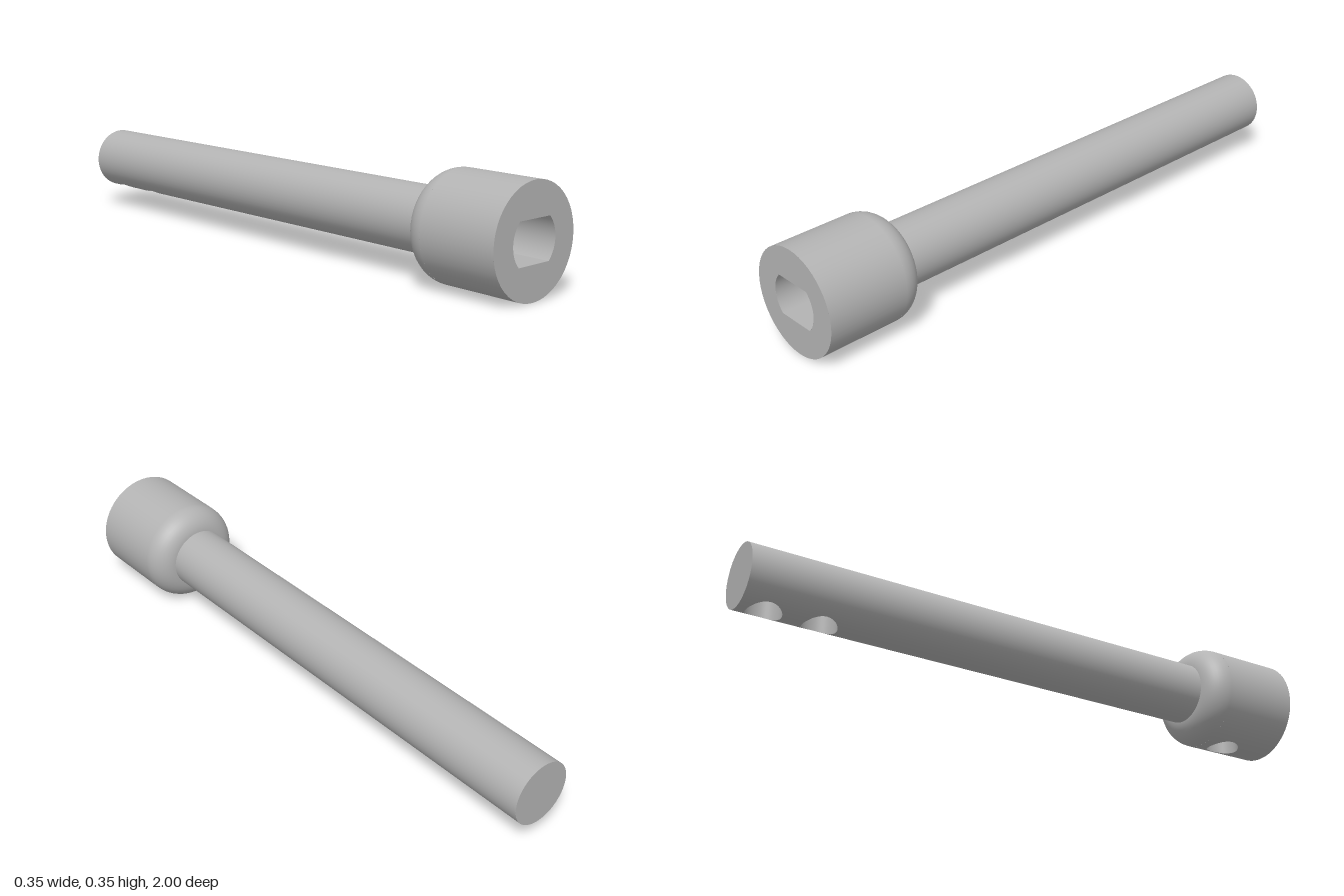
import * as THREE from 'three';
import { ParametricGeometry } from 'three/addons/geometries/ParametricGeometry.js';

const CY = 0.174;      // height of the long axis
const HEAD_R = 0.174, SHAFT_R = 0.104, HOLE_R = 0.055;
const SOCKET_R = 0.092, FLAT = 0.065, SOCKET_END = 0.7;

export function createModel() {
  const group = new THREE.Group();
  const steel = new THREE.MeshStandardMaterial({ color: 0xb3b3b3, side: THREE.DoubleSide });
  steel.name = 'steel grey';

  const add = (name, geometry) => {
    const mesh = new THREE.Mesh(geometry, steel);
    mesh.name = name;
    group.add(mesh);
    return mesh;
  };
  const surface = (name, f, nu, nv) => add(name, new ParametricGeometry(f, nu, nv));

  // Point on a tube around the axis; angle 0 is straight down
  const around = (r, a, z, p) => p.set(r * Math.sin(a), CY - r * Math.cos(a), z);

  // Part of a cylinder wall between two angles and two z positions
  const wall = (name, r, a0, a1, z0, z1, n) =>
    surface(name, (u, v, p) => around(r, a0 + (a1 - a0) * u, z0 + (z1 - z0) * v, p), n, 1);

  // Walk round the unit square, 12 steps per side
  const corners = [[1, -1], [1, 1], [-1, 1], [-1, -1], [1, -1]];
  const square = (u) => {
    const k = Math.min(3, Math.floor(u * 4)), f = u * 4 - k;
    return [0, 1].map((i) => corners[k][i] * (1 - f) + corners[k + 1][i] * f);
  };
  const rim = (u) => {
    const [x, z] = square(u), l = Math.hypot(x, z);
    return [HOLE_R * x / l, HOLE_R * z / l];
  };

  // Curved patch with a round hole in it, and the bore that rises from it
  const drilled = (name, r, A, H, zc, topY) => {
    surface(name + 'Rim', (u, v, p) => {
      const [sx, sz] = square(u), [hx, hz] = rim(u);
      around(r, A * sx * (1 - v) + Math.asin(hx / r) * v, zc + H * sz * (1 - v) + hz * v, p);
    }, 48, 6);
    surface(name + 'Bore', (u, v, p) => {
      const [x, z] = rim(u), y0 = CY - Math.sqrt(r * r - x * x);
      p.set(x, y0 + (topY - y0) * v, zc + z);
    }, 48, 1);
  };

  // Cylinder from z0 to z1 with a row of holes along its underside
  const drilledCylinder = (name, r, z0, z1, A, H, holes, topY) => {
    wall(name + 'Wall', r, A, Math.PI * 2 - A, z0, z1, 40);
    let z = z0;
    holes.forEach((zc, i) => {
      wall(name + 'Strip', r, -A, A, z, zc - H, 12);
      drilled(name + 'Hole' + (i + 1), r, A, H, zc, topY);
      z = zc + H;
    });
    wall(name + 'Strip', r, -A, A, z, z1, 12);
  };

  // Shaft with two blind holes near its end
  const shaftHoles = [-0.915, -0.737];
  drilledCylinder('shaft', SHAFT_R, -1, 0.67, 0.8, 0.07, shaftHoles, CY);
  shaftHoles.forEach((z) =>
    add('holeEnd', new THREE.CircleGeometry(HOLE_R, 48).rotateX(Math.PI / 2)).position.set(0, CY, z));
  add('shaftEnd', new THREE.CircleGeometry(SHAFT_R, 48).rotateY(Math.PI)).position.set(0, CY, -1);

  // Head with one hole into the socket, and a rounded shoulder
  drilledCylinder('head', HEAD_R, 0.73, 1, 0.5, 0.08, [0.82], CY - FLAT);
  surface('headShoulder', (u, v, p) => {
    const t = v * Math.PI / 2;
    around(0.094 + 0.08 * Math.sin(t), u * Math.PI * 2, 0.65 + 0.08 * (1 - Math.cos(t)), p);
  }, 48, 10);

  // Socket outline: a circle with flat top and bottom
  const t = Math.asin(FLAT / SOCKET_R), half = SOCKET_R * Math.cos(t);
  const outline = (path) => {
    path.absarc(0, 0, SOCKET_R, -t, t, false);
    path.absarc(0, 0, SOCKET_R, Math.PI - t, Math.PI + t, false);
    path.closePath();
    return path;
  };
  const face = new THREE.Shape().absarc(0, 0, HEAD_R, 0, Math.PI * 2, false);
  face.holes.push(outline(new THREE.Path()));
  add('headFace', new THREE.ShapeGeometry(face, 24)).position.set(0, CY, 1);
  add('socketEnd', new THREE.ShapeGeometry(outline(new THREE.Shape()), 24)).position.set(0, CY, SOCKET_END);

  // Socket sides, roof and pierced floor
  for (const mid of [Math.PI / 2, -Math.PI / 2]) {
    wall('socketSide', SOCKET_R, mid + t, mid - t, SOCKET_END, 1, 16);
  }
  const depth = 1 - SOCKET_END;
  add('socketRoof', new THREE.PlaneGeometry(half * 2, depth).rotateX(Math.PI / 2))
    .position.set(0, CY + FLAT, 1 - depth / 2);
  const floor = new THREE.Shape([[-half, -1], [half, -1], [half, -SOCKET_END], [-half, -SOCKET_END]]
    .map(([x, y]) => new THREE.Vector2(x, y)));
  floor.holes.push(new THREE.Path().absarc(0, -0.82, HOLE_R, 0, Math.PI * 2, true));
  add('socketFloor', new THREE.ShapeGeometry(floor, 24).rotateX(-Math.PI / 2))
    .position.set(0, CY - FLAT, 0);

  return group;
}
